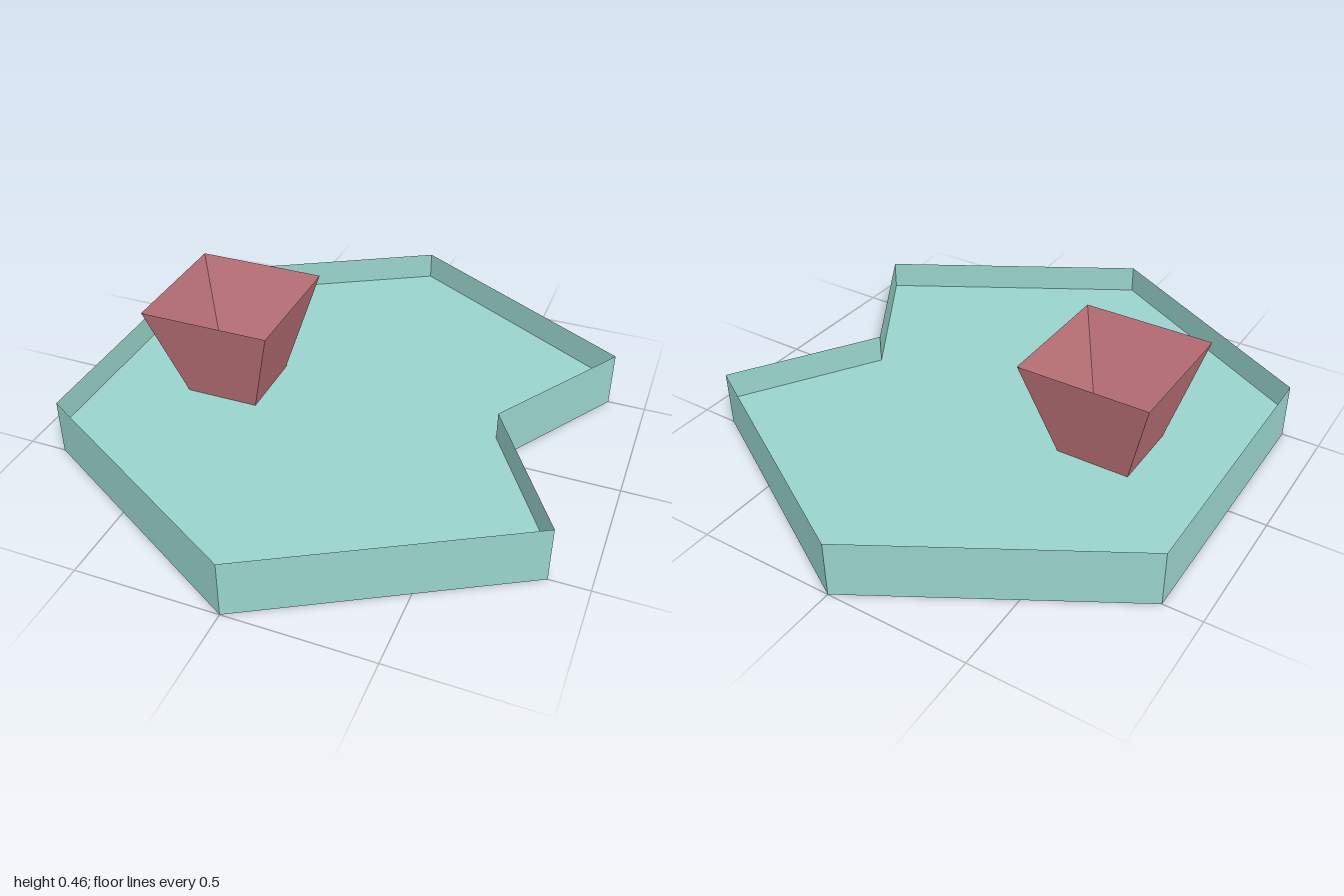
import * as THREE from 'three';

export function createModel() {
  const model = new THREE.Group();
  const teal = new THREE.MeshStandardMaterial({ name: 'paleTeal', color: 0x99d4cc, side: THREE.DoubleSide });
  const rose = new THREE.MeshStandardMaterial({ name: 'dustyRose', color: 0xc2767c, side: THREE.DoubleSide, flatShading: true });

  const add = (name, geometry, material, parent = model) => {
    const mesh = new THREE.Mesh(geometry, material);
    mesh.name = name;
    parent.add(mesh);
    return mesh;
  };

  // Hexagonal outline with a V notch on the +x side
  const outline = [
    [0.56, 0], [0.866, 0.5], [0, 1], [-0.866, 0.5],
    [-0.866, -0.5], [0, -1], [0.866, -0.5],
  ].map(([x, y]) => new THREE.Vector2(x, y));
  const shape = new THREE.Shape(outline);
  const height = 0.203, floorY = 0.1;

  // Tray: underside, raised floor and thin upright walls
  const tray = new THREE.Group();
  tray.name = 'tray';
  model.add(tray);
  add('trayUnderside', new THREE.ShapeGeometry(shape).rotateX(Math.PI / 2), teal, tray);
  add('trayFloor', new THREE.ShapeGeometry(shape).rotateX(-Math.PI / 2), teal, tray).position.y = floorY;
  outline.forEach((a, i) => {
    const b = outline[(i + 1) % outline.length];
    const wall = add('trayWall', new THREE.PlaneGeometry(a.distanceTo(b), height), teal, tray);
    wall.position.set((a.x + b.x) / 2, height / 2, -(a.y + b.y) / 2);
    wall.rotation.y = Math.atan2(b.y - a.y, b.x - a.x);
  });

  // Square flared pot, open at the top, standing on the floor
  const potHeight = 0.36;
  const pot = new THREE.CylinderGeometry(0.234 * Math.SQRT2, 0.133 * Math.SQRT2, potHeight, 4, 1, true);
  pot.rotateY(Math.PI / 4);
  add('pot', pot, rose).position.set(-0.424, floorY + potHeight / 2, 0);

  return model;
}
